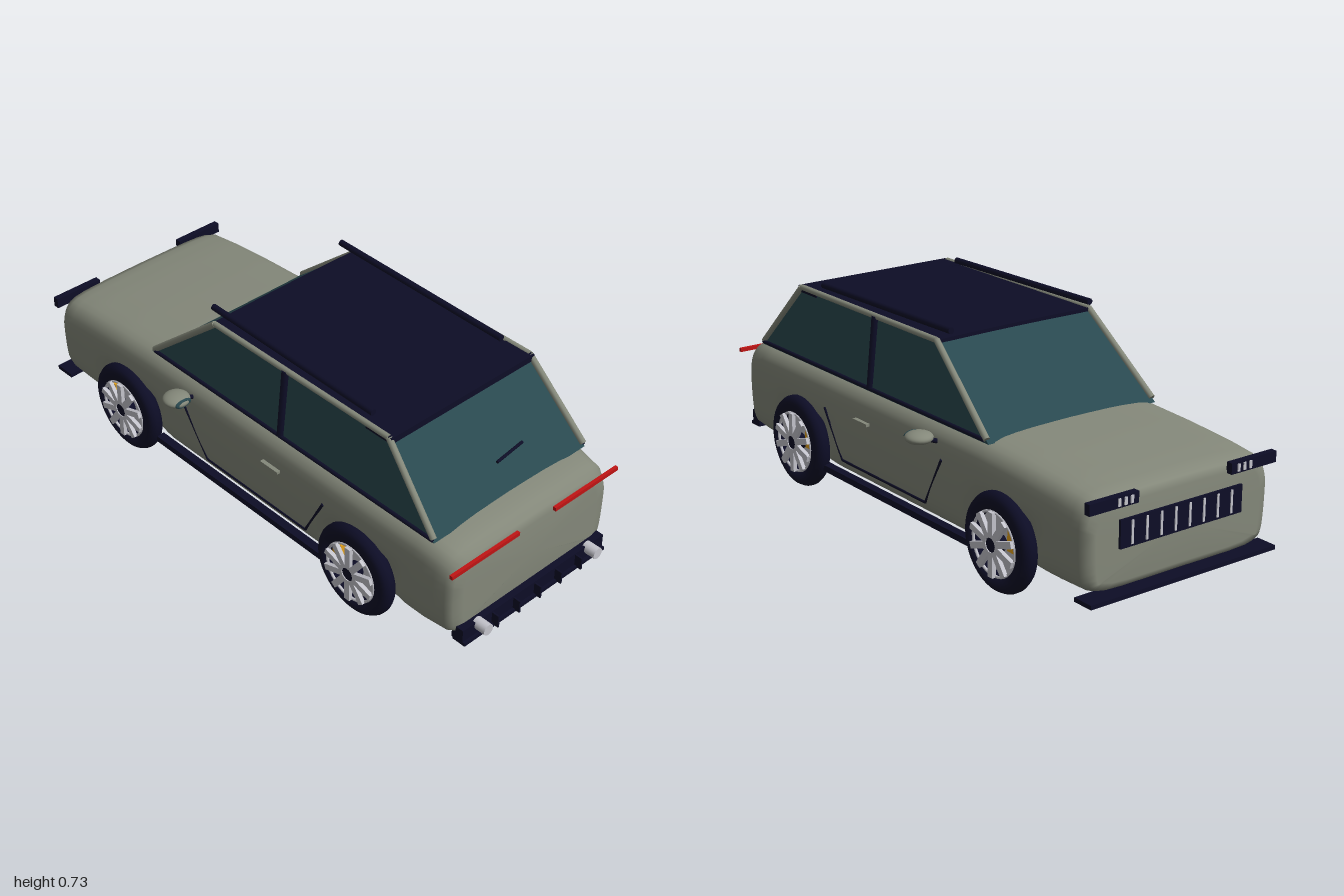
import * as THREE from 'three';

const mat = (name, color, side = THREE.FrontSide) => {
  const m = new THREE.MeshStandardMaterial({ color, side });
  m.name = name;
  return m;
};

export function createModel() {
  const car = new THREE.Group();
  car.name = 'car';
  const paint = mat('sage paint', 0x84887a);
  const black = mat('navy black trim', 0x0d0d26);
  const glass = mat('teal glass', 0x29484f);
  const silver = mat('silver', 0xc4c4cc);
  const red = mat('tail red', 0xc01414);
  const orange = mat('caliper orange', 0xe8a41c);

  const add = (name, geo, m, x = 0, y = 0, z = 0, parent = car) => {
    const mesh = new THREE.Mesh(geo, m);
    mesh.name = name;
    mesh.position.set(x, y, z);
    parent.add(mesh);
    return mesh;
  };
  const box = (name, m, w, h, d, x, y, z, parent) =>
    add(name, new THREE.BoxGeometry(w, h, d), m, x, y, z, parent);
  // round bar between two points
  const bar = (name, m, a, b, r) => {
    const p = new THREE.Vector3(...a), q = new THREE.Vector3(...b);
    const mesh = add(name, new THREE.CylinderGeometry(r, r, p.distanceTo(q), 10), m);
    mesh.position.copy(p).add(q).multiplyScalar(0.5);
    mesh.quaternion.setFromUnitVectors(new THREE.Vector3(0, 1, 0), q.sub(p).normalize());
    return mesh;
  };

  const axles = [0.55, -0.58];
  add('body', bodyGeometry(axles), paint);

  // glasshouse: a box tapered to the roof
  const cabin = new THREE.BoxGeometry(2, 1, 2);
  const cp = cabin.attributes.position;
  for (let i = 0; i < cp.count; i++) {
    const top = cp.getY(i) > 0, rear = cp.getZ(i) > 0;
    cp.setXYZ(i, cp.getX(i) * (top ? 0.305 : 0.335), top ? 0.685 : 0.435,
      top ? (rear ? 0.61 : -0.17) : (rear ? 0.84 : -0.475));
  }
  cabin.computeVertexNormals();
  add('windows', cabin, glass);

  // gently domed roof
  const roof = new THREE.BoxGeometry(0.6, 0.012, 0.79, 16, 1, 8);
  const rp = roof.attributes.position;
  for (let i = 0; i < rp.count; i++) {
    const u = rp.getX(i) / 0.3, v = rp.getZ(i) / 0.4;
    rp.setY(i, rp.getY(i) + 0.009 * (1 - u * u) * (1 - v * v * 0.7));
  }
  roof.computeVertexNormals();
  add('roof', roof, black, 0, 0.682, 0.215);
  box('roofSpoiler', black, 0.62, 0.022, 0.11, 0, 0.679, 0.575);

  for (const s of [1, -1]) {
    // pillars, roof edge and trim
    bar('rearPillar', paint, [s * 0.332, 0.447, 0.835], [s * 0.306, 0.685, 0.615], 0.011);
    bar('windscreenPillar', paint, [s * 0.332, 0.447, -0.462], [s * 0.306, 0.685, -0.172], 0.011);
    bar('roofEdge', paint, [s * 0.306, 0.685, 0.615], [s * 0.306, 0.685, -0.172], 0.01);
    bar('beltTrim', black, [s * 0.336, 0.445, 0.835], [s * 0.336, 0.445, -0.455], 0.007);
    bar('middlePillar', black, [s * 0.333, 0.445, 0.165], [s * 0.308, 0.685, 0.165], 0.013);
    bar('roofRail', black, [s * 0.278, 0.708, 0.52], [s * 0.278, 0.719, -0.21], 0.011);
    box('sill', black, 0.03, 0.022, 0.84, s * 0.358, 0.107, -0.01);

    // door seam and handle
    const seam = [[0.366, 0.325, 0.395], [0.357, 0.16, 0.305], [0.357, 0.16, -0.175], [0.366, 0.335, -0.275]];
    for (let i = 0; i < 3; i++) {
      const [a, b] = [seam[i], seam[i + 1]].map(([x, y, z]) => [s * x, y, z]);
      bar('doorSeam', black, a, b, 0.005);
    }
    box('doorHandle', paint, 0.014, 0.009, 0.08, s * 0.375, 0.338, 0.16);

    // door mirror
    const mirror = new THREE.Group();
    mirror.name = 'doorMirror';
    mirror.position.set(s * 0.425, 0.412, -0.24);
    car.add(mirror);
    add('mirrorShell', new THREE.SphereGeometry(0.046, 24, 16), paint, 0, 0, 0, mirror).scale.set(1, 0.45, 1);
    add('mirrorGlass', new THREE.TorusGeometry(0.024, 0.008, 8, 24), glass, 0, 0, 0.034, mirror).scale.y = 0.45;
    bar('mirrorArm', black, [s * 0.35, 0.382, -0.24], [s * 0.4, 0.402, -0.24], 0.008);

    // lights and exhaust
    box('tailLight', red, 0.29, 0.013, 0.012, s * 0.225, 0.392, 0.945);
    box('headlight', black, 0.185, 0.036, 0.022, s * 0.275, 0.393, -0.974);
    for (let i = 0; i < 3; i++)
      box('headlightLamp', silver, 0.01, 0.024, 0.006, s * (0.21 + i * 0.024), 0.393, -0.986);
    add('exhaust', new THREE.CylinderGeometry(0.02, 0.02, 0.05, 16), silver, s * 0.25, 0.143, 0.975).rotation.x = Math.PI / 2;

    for (const z of axles) addWheel(s, z);
  }

  // nose: grille with slats, lower lip
  box('grille', black, 0.48, 0.09, 0.014, 0, 0.285, -0.968);
  for (let i = 0; i < 8; i++)
    box('grilleSlat', silver, 0.008, 0.075, 0.006, -0.196 + i * 0.056, 0.285, -0.975);
  box('frontLip', black, 0.735, 0.014, 0.075, 0, 0.101, -0.9625);

  // tail: bumper with fins, wiper
  box('rearBumper', black, 0.64, 0.05, 0.045, 0, 0.13, 0.938);
  box('rearLip', black, 0.64, 0.012, 0.05, 0, 0.104, 0.945);
  for (let i = -2; i <= 2; i++)
    box('rearFin', black, 0.006, 0.045, 0.03, i * 0.095, 0.128, 0.972);
  bar('rearWiper', black, [0, 0.517, 0.774], [0.12, 0.526, 0.766], 0.005);

  // wheel with its local y axis pointing outwards
  function addWheel(s, z) {
    const wheel = new THREE.Group();
    wheel.name = 'wheel';
    wheel.position.set(s * 0.368, 0.163, z);
    wheel.rotation.z = -s * Math.PI / 2;
    car.add(wheel);
    const profile = [[0.104, -0.027], [0.138, -0.028], [0.153, -0.02], [0.16, -0.007], [0.16, 0.007],
      [0.153, 0.02], [0.138, 0.028], [0.104, 0.027], [0.104, -0.027]].map(p => new THREE.Vector2(...p));
    add('tyre', new THREE.LatheGeometry(profile, 40), black, 0, 0, 0, wheel);
    add('rimRing', new THREE.TorusGeometry(0.103, 0.005, 8, 36), silver, 0, 0.026, 0, wheel).rotation.x = Math.PI / 2;
    add('brakeDisc', new THREE.CylinderGeometry(0.104, 0.104, 0.008, 32), silver, 0, -0.008, 0, wheel);
    add('hub', new THREE.CylinderGeometry(0.028, 0.028, 0.066, 12), black, 0, 0.005, 0, wheel);
    box('brakeCaliper', orange, 0.075, 0.036, 0.04, -s * 0.03, -0.002, -0.072, wheel);
    for (let i = 0; i < 10; i++) {
      const a = i * Math.PI / 5;
      const spoke = box('spoke', silver, 0.082, 0.014, 0.022,
        Math.cos(a) * 0.064, 0.034, -Math.sin(a) * 0.064, wheel);
      spoke.rotation.y = a;
    }
  }
  return car;
}

// body lofted through cross-sections along z, hollowed low down beside each wheel
function bodyGeometry(axles) {
  // z, half width, top, bottom
  const keys = [[0.937, 0.3, 0.38, 0.14], [0.93, 0.338, 0.408, 0.118], [0.905, 0.352, 0.428, 0.108],
    [0.82, 0.361, 0.445, 0.106], [0.4, 0.366, 0.45, 0.106], [-0.45, 0.366, 0.45, 0.106], [-0.65, 0.365, 0.441, 0.106],
    [-0.83, 0.363, 0.428, 0.106], [-0.93, 0.361, 0.416, 0.108], [-0.958, 0.353, 0.405, 0.116], [-0.966, 0.325, 0.38, 0.135]];
  const sections = [];
  keys.forEach((k, i) => {
    const next = keys[i + 1];
    const n = next ? Math.max(1, Math.round((k[0] - next[0]) / 0.04)) : 1;
    for (let j = 0; j < n; j++) sections.push(next ? k.map((v, c) => v + (next[c] - v) * j / n) : k);
  });
  const half = 24, ring = half * 2;
  const pos = [], idx = [];
  for (const [z, w, top, bot] of sections) {
    const curve = new THREE.SplineCurve([[0, top], [0.5 * w, top - 0.002], [0.82 * w, top - 0.01],
      [0.94 * w, top - 0.033], [0.99 * w, top - 0.075], [w, 0.29], [0.99 * w, 0.2],
      [0.965 * w, 0.148], [0.9 * w, bot + 0.012], [0.7 * w, bot], [0, bot]].map(p => new THREE.Vector2(...p)));
    const pts = curve.getPoints(half);
    const d = Math.min(...axles.map(a => Math.abs(z - a)));
    const well = 1 - THREE.MathUtils.smoothstep(d, 0.1, 0.2);
    for (let j = 0; j < ring; j++) {
      const p = pts[j <= half ? j : ring - j];
      const low = 1 - THREE.MathUtils.smoothstep(p.y, 0.2, 0.31);
      const x = p.x - Math.max(0, p.x - 0.325) * well * low;
      pos.push(j <= half ? x : -x, p.y, z);
    }
  }
  const last = sections.length - 1;
  for (let i = 0; i < last; i++)
    for (let j = 0; j < ring; j++) {
      const k = (j + 1) % ring, a = i * ring + j, b = i * ring + k;
      idx.push(a, b, a + ring, b, b + ring, a + ring);
    }
  // end caps
  const tail = pos.length / 3, nose = tail + 1;
  pos.push(0, 0.26, 0.94, 0, 0.26, -0.968);
  for (let j = 0; j < ring; j++) {
    const k = (j + 1) % ring;
    idx.push(tail, k, j, nose, last * ring + j, last * ring + k);
  }
  const geo = new THREE.BufferGeometry();
  geo.setAttribute('position', new THREE.Float32BufferAttribute(pos, 3));
  geo.setIndex(idx);
  geo.computeVertexNormals();
  return geo;
}
